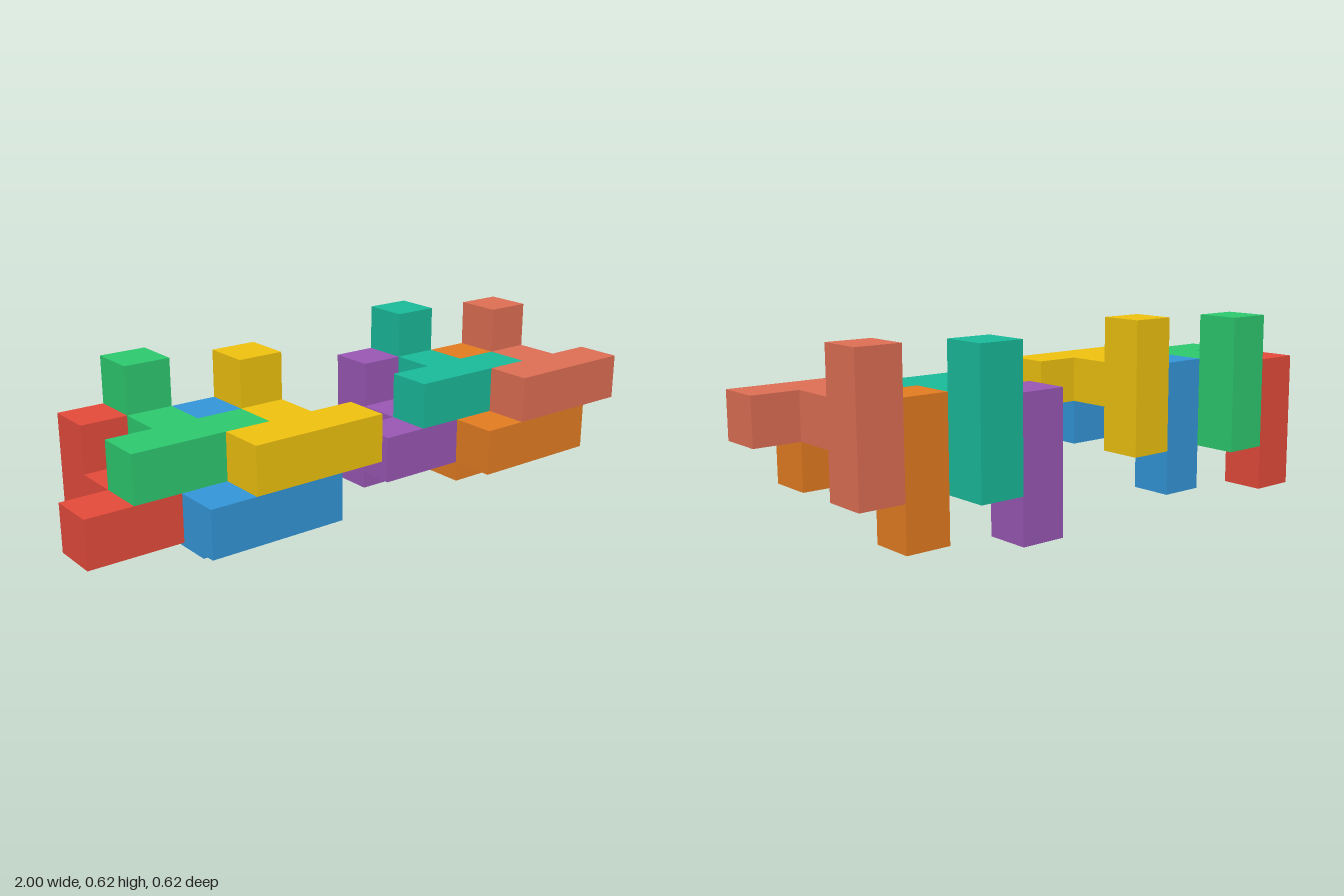
import * as THREE from 'three';

const U = 2 / 13; // one cube cell

// Flat T in plan: a three-cell crossbar in front, joined by a one-cell stem
function teeGeometry() {
  const outline = [
    [-1.5, -2.5], [1.5, -2.5], [1.5, -1.5], [0.5, -1.5],
    [0.5, -0.5], [-0.5, -0.5], [-0.5, -1.5], [-1.5, -1.5],
  ].map(([x, y]) => new THREE.Vector2(x * U, y * U));
  const geo = new THREE.ExtrudeGeometry(new THREE.Shape(outline), { depth: U, bevelEnabled: false });
  geo.rotateX(-Math.PI / 2);
  geo.translate(0, -U / 2, 0);
  return geo;
}

export function createModel() {
  const model = new THREE.Group();
  model.name = 'interlockingBlocks';

  const columnGeo = new THREE.BoxGeometry(U, 3 * U, U);
  const teeGeo = teeGeometry();

  // Cell (x, y, z) of each column's middle within a cluster
  const cells = [[1, 1, 0], [2, 2, 0], [3, 1, 1], [4, 2, 1]];
  const clusters = [
    { name: 'rightCluster', offset: 0,
      pieces: [['red', 0xe74c3c], ['green', 0x2ecc71], ['blue', 0x3498db], ['yellow', 0xf1c40f]] },
    { name: 'leftCluster', offset: 7,
      pieces: [['purple', 0x9b59b6], ['teal', 0x1abc9c], ['orange', 0xe67e22], ['salmon', 0xe17055]] },
  ];

  for (const { name, offset, pieces } of clusters) {
    const cluster = new THREE.Group();
    cluster.name = name;
    pieces.forEach(([label, color], i) => {
      const [cx, cy, cz] = cells[i];
      const piece = new THREE.Group();
      piece.name = label + 'Piece';
      const material = new THREE.MeshStandardMaterial({ color });

      // Upright column at the back
      const column = new THREE.Mesh(columnGeo, material);
      column.name = label + 'Column';
      // Stem and crossbar reaching forward from the column's middle
      const tee = new THREE.Mesh(teeGeo, material);
      tee.name = label + 'Crossbar';

      piece.add(column, tee);
      piece.position.set((cx + offset + 0.5) * U - 1, (cy + 0.5) * U, (cz - 1.5) * U);
      cluster.add(piece);
    });
    model.add(cluster);
  }
  return model;
}
